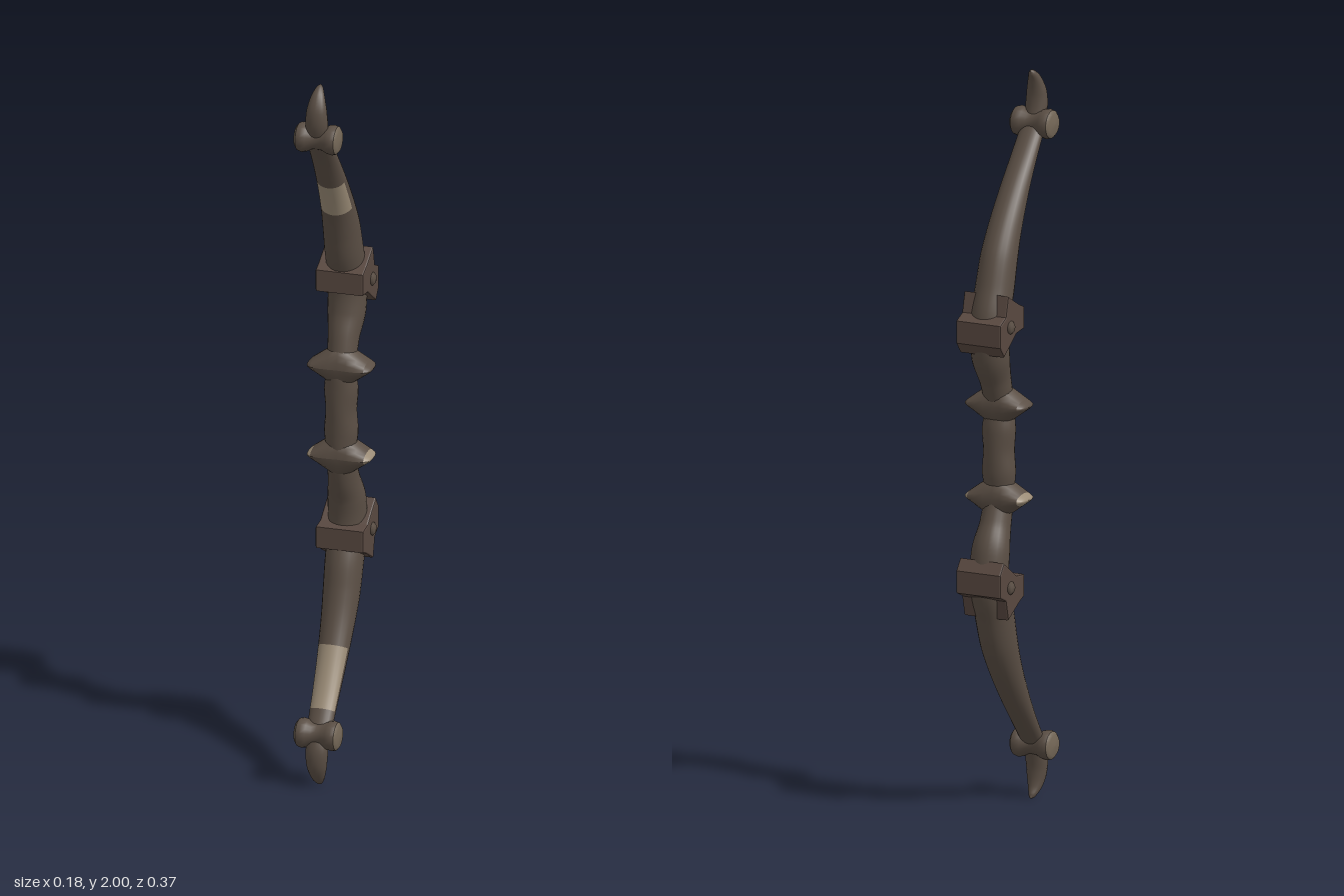
import * as THREE from 'three';

const mat = (name, color) => {
  const m = new THREE.MeshStandardMaterial({ color });
  m.name = name;
  return m;
};

const MIRROR = 2.005; // an upper part at y has its twin at MIRROR - y

// Tube with elliptical sections along a path in the yz plane; rows are [y, z, halfWidth, halfDepth].
// pale(y, angle) picks the faces that take the second material.
function sweep(rows, steps, sides, pale = () => false) {
  const path = new THREE.CatmullRomCurve3(rows.map(r => new THREE.Vector3(0, r[0], r[1])));
  const radii = new THREE.CatmullRomCurve3(rows.map(r => new THREE.Vector3(r[2], r[3], 0)));
  const pos = [], faces = [[], []];
  for (let i = 0; i <= steps; i++) {
    const t = i / steps, c = path.getPoint(t), d = path.getTangent(t), r = radii.getPoint(t);
    for (let j = 0; j < sides; j++) {
      const a = (j / sides) * Math.PI * 2, n = r.y * Math.cos(a);
      pos.push(r.x * Math.sin(a), c.y - d.z * n, c.z + d.y * n);
      if (i === steps) continue;
      const k = (j + 1) % sides, p = i * sides + j, q = i * sides + k;
      const mid = path.getPoint((i + 0.5) / steps).y;
      faces[pale(mid, ((j + 0.5) / sides) * Math.PI * 2) ? 1 : 0].push(p, q, q + sides, p, q + sides, p + sides);
    }
  }
  const g = new THREE.BufferGeometry();
  g.setAttribute('position', new THREE.Float32BufferAttribute(pos, 3));
  g.setIndex([...faces[0], ...faces[1]]);
  g.addGroup(0, faces[0].length, 0);
  g.addGroup(faces[0].length, faces[1].length, 1);
  g.computeVertexNormals();
  return g;
}

// Turned shape around the x axis; profile rows are [radius, x]
function turned(profile, sides = 20) {
  return new THREE.LatheGeometry(profile.map(p => new THREE.Vector2(...p)), sides).rotateZ(-Math.PI / 2);
}

// Squeeze a guard so that it thins to a blade at each side
function bladed(profile) {
  const g = turned(profile), p = g.attributes.position;
  for (let i = 0; i < p.count; i++) {
    p.setY(i, p.getY(i) * (1.3 * (1 - Math.abs(p.getX(i)) / 0.09) + 0.15));
  }
  g.computeVertexNormals();
  return g;
}

export function createModel() {
  const model = new THREE.Group();
  const wood = mat('dark wood', 0x5a4e44);
  const bare = mat('bare wood', 0x9a8b76);
  const worn = mat('worn wood', 0x746757);
  const leather = mat('clamp brown', 0x584840);

  const add = (parent, name, geometry, material, y = 0, z = 0) => {
    const m = new THREE.Mesh(geometry, material);
    m.name = name;
    m.position.set(0, y, z);
    parent.add(m);
    return m;
  };

  // Grip and both limbs in one curved stave, with bare patches on the front
  const upper = [
    [1.06, -0.06, 0.046, 0.042], [1.12, -0.058, 0.04, 0.038], [1.2, -0.08, 0.042, 0.044],
    [1.27, -0.108, 0.052, 0.05], [1.36, -0.115, 0.053, 0.052], [1.45, -0.085, 0.052, 0.055],
    [1.53, -0.06, 0.05, 0.052], [1.6, -0.028, 0.046, 0.045], [1.69, 0.025, 0.041, 0.035],
    [1.77, 0.08, 0.037, 0.026], [1.85, 0.14, 0.034, 0.02],
  ];
  const lower = upper.map(([y, ...rest]) => [MIRROR - y, ...rest]).reverse();
  const isBare = (y, a) => Math.cos(a) > 0.25 && ((y > 1.61 && y < 1.7) || (y > 0.2 && y < 0.345));
  add(model, 'stave', sweep([...lower, [MIRROR / 2, -0.06, 0.042, 0.043], ...upper], 150, 24, isBare), [wood, bare]);

  // Fittings, built once for the upper end and turned over for the lower
  for (const end of ['upper', 'lower']) {
    const half = new THREE.Group();
    half.name = end + 'Fittings';

    // Winged guard beside the grip
    add(half, 'guard', bladed([[0.043, -0.074], [0.047, -0.05], [0.047, -0.025], [0.045, 0],
      [0.047, 0.025], [0.047, 0.05], [0.043, 0.074]]), wood, 1.13, -0.06);
    const tip = [[0.043, 0.074], [0.036, 0.084], [0.025, 0.088], [0, 0.09]];
    for (const s of [1, -1]) {
      const rows = tip.map(([r, x]) => [r, x * s]);
      add(half, 'guardTip', bladed(s > 0 ? rows : rows.reverse()), end === 'lower' ? bare : wood, 1.13, -0.06);
    }

    // Clamp: a side profile of [z, y] points extruded across the limb
    const outline = [[-0.042, 1.34], [-0.042, 1.4], [-0.07, 1.412], [-0.132, 1.447], [-0.146, 1.392],
      [-0.18, 1.376], [-0.18, 1.315], [-0.157, 1.285], [-0.12, 1.31], [-0.085, 1.335]];
    const shape = new THREE.Shape(outline.map(([z, y]) => new THREE.Vector2(-z, y)));
    const clamp = new THREE.ExtrudeGeometry(shape, {
      depth: 0.124, bevelEnabled: true, bevelSize: 0.004, bevelOffset: -0.004, bevelThickness: 0.005, bevelSegments: 2,
    });
    clamp.translate(0, 0, -0.062).rotateY(Math.PI / 2);
    add(half, 'clamp', clamp, leather);

    // Bolt through the clamp
    add(half, 'clampBolt', turned([[0, -0.076], [0.012, -0.075], [0.018, -0.069], [0.018, 0.069],
      [0.012, 0.075], [0, 0.076]], 14), wood, 1.36, -0.122);

    // Nock knob with swollen ends
    add(half, 'knob', turned([[0.038, -0.053], [0.041, -0.042], [0.038, -0.028], [0.031, -0.014], [0.03, 0],
      [0.031, 0.014], [0.038, 0.028], [0.041, 0.042], [0.038, 0.053]]), wood, 1.855, 0.144);
    add(half, 'knobEnd', turned([[0.038, 0.053], [0.029, 0.06], [0, 0.062]]), worn, 1.855, 0.144);
    add(half, 'knobEnd', turned([[0, -0.062], [0.029, -0.06], [0.038, -0.053]]), worn, 1.855, 0.144);

    // Curved horn at the end of the limb
    add(half, 'horn', sweep([[1.86, 0.146, 0.026, 0.022], [1.9, 0.157, 0.031, 0.024], [1.94, 0.157, 0.028, 0.022],
      [1.975, 0.145, 0.019, 0.016], [1.995, 0.128, 0.009, 0.009], [2.001, 0.119, 0.0005, 0.0005]], 24, 16), wood);

    if (end === 'lower') {
      half.rotation.z = Math.PI;
      half.position.y = MIRROR;
    }
    model.add(half);
  }
  return model;
}
